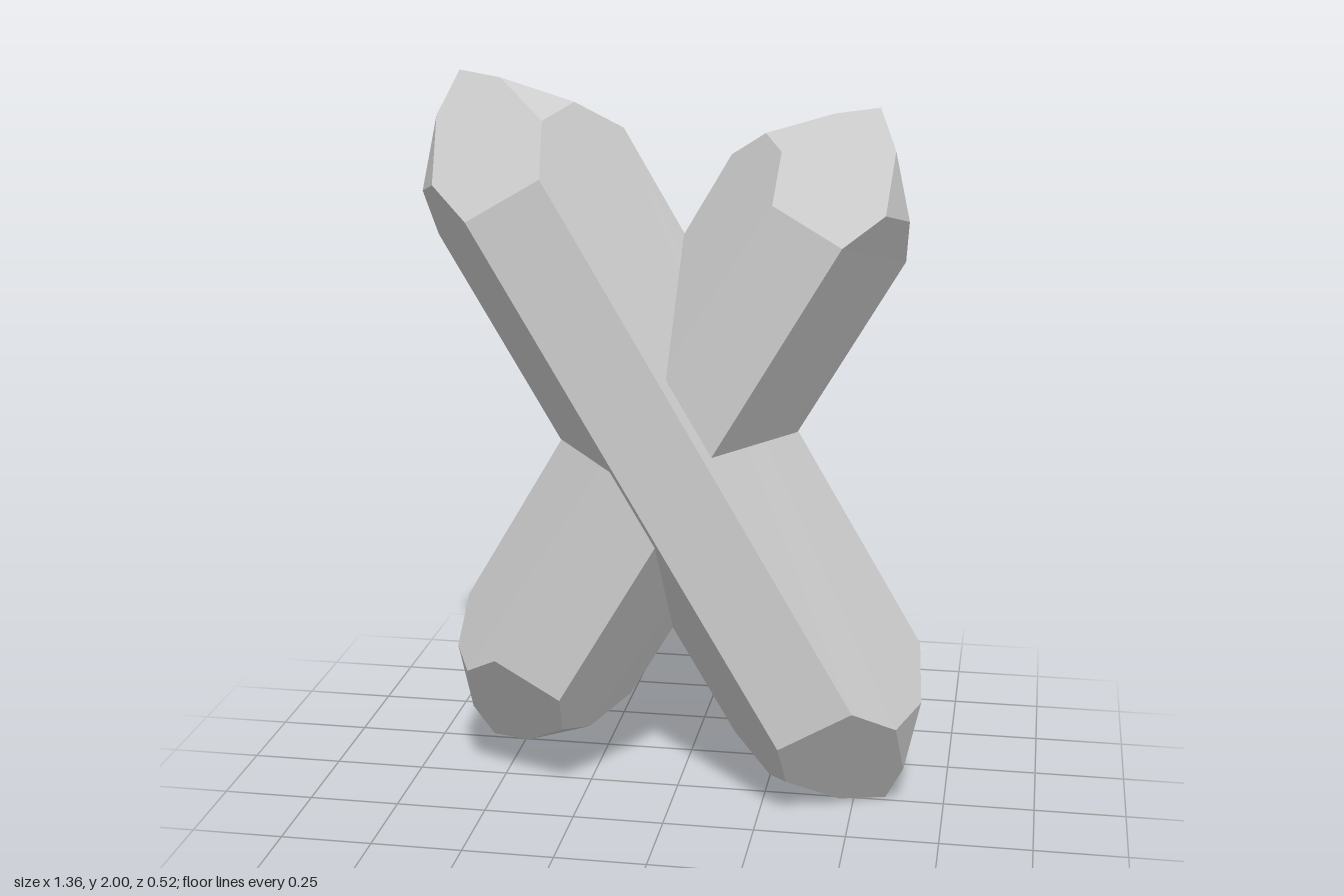
import * as THREE from 'three';

const stone = new THREE.MeshStandardMaterial({ color: 0xcccccc });
stone.name = 'pale grey crystal';

const TIP = 1.161;    // half length of a crystal
const SLOPE = 1.25;   // steepness of the large end facets

// Six-sided prism with three wide end facets and three small corner facets per end
function crystalGeometry() {
  const positions = [];

  // Convex polygon as a fan, wound to face away from the crystal's centre
  function polygon(points) {
    const n = new THREE.Vector3().crossVectors(
      points[1].clone().sub(points[0]), points[2].clone().sub(points[0]));
    const p = n.dot(points[0]) < 0 ? [...points].reverse() : points;
    for (let i = 1; i < p.length - 1; i++) {
      for (const v of [p[0], p[i], p[i + 1]]) positions.push(v.x, v.y, v.z);
    }
  }

  // Point on the end facet of sector k, at an angle from the facet's middle
  function point(k, degrees, radius, end) {
    const off = THREE.MathUtils.degToRad(degrees);
    const a = Math.PI / 2 + k * Math.PI * 2 / 3 + off;
    const height = TIP - SLOPE * radius * Math.cos(off);
    return new THREE.Vector3(radius * Math.cos(a), end * height, radius * Math.sin(a));
  }
  const ridge = (k, side, end) => point(k, side * 22.3, 0.3005, end);
  const middle = (k, side, end) => point(k, side * 43.7, 0.248, end);
  const inner = (k, side, end) => point(k, side * 60, 0.117, end);

  for (let k = 0; k < 3; k++) {
    for (const end of [1, -1]) {
      // large end facet
      polygon([
        ridge(k, -1, end), ridge(k, 1, end), middle(k, 1, end), inner(k, 1, end),
        new THREE.Vector3(0, end * TIP, 0), inner(k, -1, end), middle(k, -1, end),
      ]);
      // small corner facet
      polygon([middle(k, 1, end), middle(k + 1, -1, end), inner(k, 1, end)]);
    }
    // narrow side of the shaft
    polygon([ridge(k, -1, 1), ridge(k, 1, 1), ridge(k, 1, -1), ridge(k, -1, -1)]);
    // wide side of the shaft, running up to the corner facets
    polygon([
      ridge(k, 1, 1), middle(k, 1, 1), middle(k + 1, -1, 1), ridge(k + 1, -1, 1),
      ridge(k + 1, -1, -1), middle(k + 1, -1, -1), middle(k, 1, -1), ridge(k, 1, -1),
    ]);
  }

  const geometry = new THREE.BufferGeometry();
  geometry.setAttribute('position', new THREE.Float32BufferAttribute(positions, 3));
  geometry.computeVertexNormals();
  return geometry;
}

export function createModel() {
  const group = new THREE.Group();
  group.name = 'crossedCrystals';
  const geometry = crystalGeometry();
  const tilt = THREE.MathUtils.degToRad(30.4);

  // large crystal, leaning to the model's right
  const large = new THREE.Mesh(geometry, stone);
  large.name = 'largeCrystal';
  large.position.set(0, 1.002, -0.02);
  large.rotation.z = tilt;

  // smaller crystal crossing it
  const small = new THREE.Mesh(geometry, stone);
  small.name = 'smallCrystal';
  small.position.set(-0.005, 1.02, -0.02);
  small.rotation.z = -tilt;
  small.scale.setScalar(0.905);

  group.add(large, small);
  return group;
}
